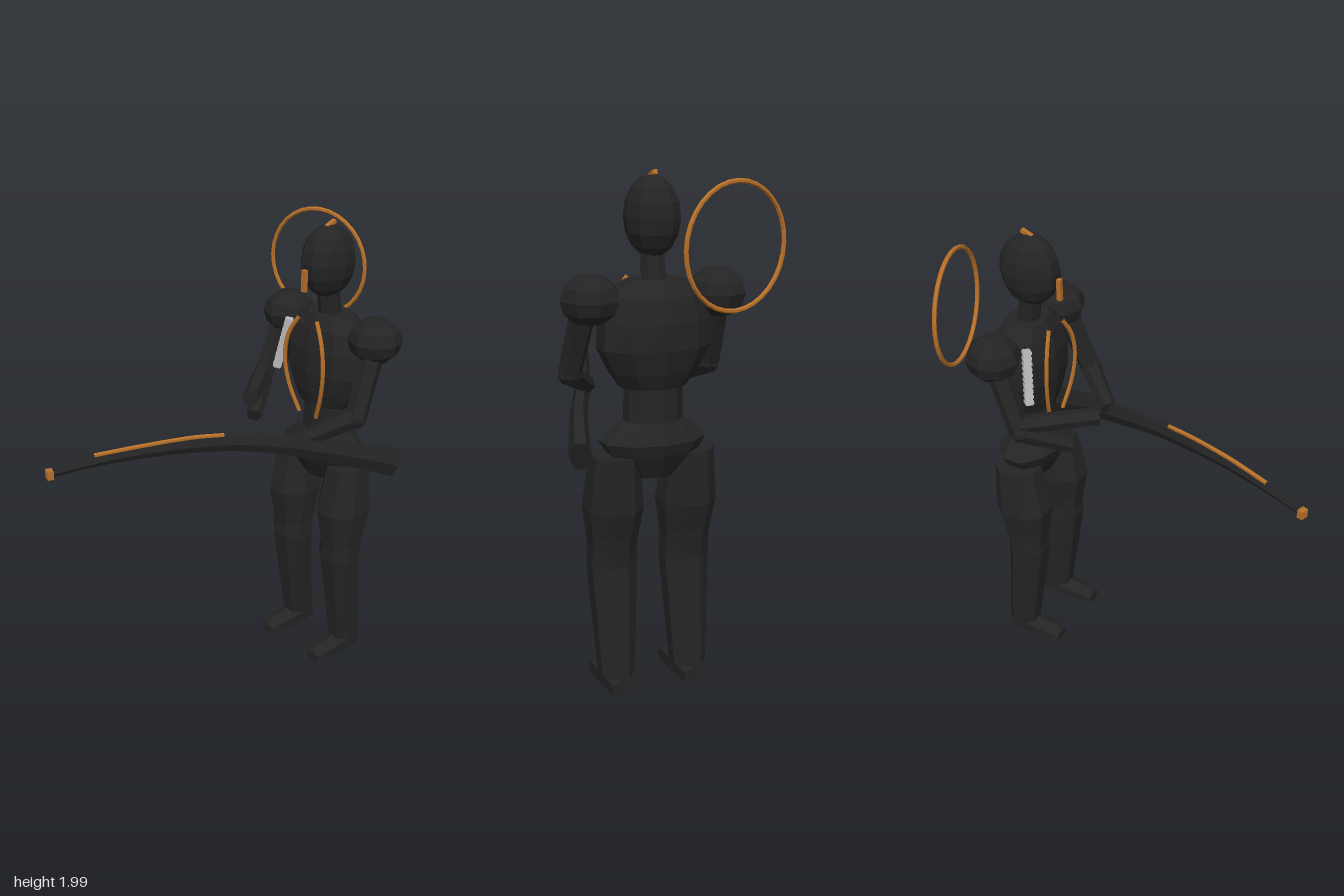
import * as THREE from 'three';

const V = (x, y, z) => new THREE.Vector3(x, y, z);
const black = new THREE.MeshStandardMaterial({ color: 0x242424 });
black.name = 'black armour';
const copper = new THREE.MeshStandardMaterial({ color: 0xb87028 });
copper.name = 'copper trim';
const silver = new THREE.MeshStandardMaterial({ color: 0xb8b8ba });
silver.name = 'silver';

const CX = 0.055; // the figure's own centre line

// Faceted mesh from any geometry
function part(name, geo, mat = black) {
  const g = geo.index ? geo.toNonIndexed() : geo;
  g.computeVertexNormals();
  const m = new THREE.Mesh(g, mat);
  m.name = name;
  return m;
}

// Elliptical ring of n points; u x v must point along the loft
function ring(c, u, v, n, turn = 0.5) {
  return Array.from({ length: n }, (_, i) => {
    const a = ((i + turn) / n) * Math.PI * 2;
    return c.clone().addScaledVector(u, Math.cos(a)).addScaledVector(v, Math.sin(a));
  });
}

// Closed skin over a list of rings
function loft(rings) {
  const pos = [];
  const tri = (...p) => p.forEach((q) => pos.push(q.x, q.y, q.z));
  const n = rings[0].length;
  const mid = (r) => r.reduce((s, p) => s.add(p), V(0, 0, 0)).divideScalar(n);
  const last = rings[rings.length - 1];
  const m0 = mid(rings[0]), m1 = mid(last);
  for (let j = 0; j < n; j++) {
    const k = (j + 1) % n;
    for (let i = 0; i < rings.length - 1; i++) {
      const a = rings[i], b = rings[i + 1];
      tri(a[j], a[k], b[k]);
      tri(a[j], b[k], b[j]);
    }
    tri(m0, rings[0][k], rings[0][j]);
    tri(m1, last[j], last[k]);
  }
  const g = new THREE.BufferGeometry();
  g.setAttribute('position', new THREE.Float32BufferAttribute(pos, 3));
  return g;
}

// Upright loft: sections are [x, y, z, half width, half depth], bottom to top
const upright = (sections, n) =>
  loft(sections.map(([x, y, z, a, b]) => ring(V(x, y, z), V(a, 0, 0), V(0, 0, -b), n)));

// Tapered limb between two points
function limb(name, a, b, ra, rb, n = 6) {
  const d = b.clone().sub(a);
  const m = part(name, new THREE.CylinderGeometry(rb, ra, d.length(), n));
  m.position.copy(a).addScaledVector(d, 0.5);
  m.quaternion.setFromUnitVectors(V(0, 1, 0), d.normalize());
  return m;
}

function ball(name, c, rx, ry, rz, w, h) {
  const m = part(name, new THREE.SphereGeometry(1, w, h).scale(rx, ry, rz));
  m.position.copy(c);
  return m;
}

const wire = (name, pts, r) =>
  part(name, new THREE.TubeGeometry(new THREE.CatmullRomCurve3(pts), 14, r, 6), copper);

function box(name, c, w, h, d, mat) {
  const m = part(name, new THREE.BoxGeometry(w, h, d), mat);
  m.position.copy(c);
  return m;
}

export function createModel() {
  const model = new THREE.Group();
  model.name = 'armouredFigure';

  // Head, neck and copper head trim
  model.add(ball('head', V(CX, 1.835, -0.52), 0.1, 0.15, 0.13, 10, 8));
  model.add(limb('neck', V(CX, 1.59, -0.545), V(CX, 1.72, -0.525), 0.05, 0.046, 8));
  model.add(box('faceRidge', V(CX, 1.775, -0.387), 0.02, 0.09, 0.018, copper));
  const crest = box('crest', V(CX, 1.984, -0.525), 0.018, 0.016, 0.05, copper);
  crest.rotation.x = 0.4;
  model.add(crest);

  // Trunk
  model.add(part('chest', upright([
    [CX, 1.22, -0.54, 0.13, 0.095], [CX, 1.28, -0.545, 0.175, 0.115],
    [CX, 1.37, -0.55, 0.222, 0.134], [CX, 1.47, -0.55, 0.218, 0.134],
    [CX, 1.56, -0.55, 0.19, 0.115], [CX, 1.615, -0.545, 0.115, 0.08],
  ], 10)));
  model.add(part('waist', upright([
    [CX, 1.07, -0.545, 0.115, 0.093], [CX, 1.24, -0.545, 0.11, 0.09],
  ], 10)));
  model.add(part('hips', upright([
    [CX, 0.88, -0.54, 0.09, 0.07], [CX, 0.975, -0.54, 0.185, 0.12],
    [CX, 1.02, -0.54, 0.21, 0.135], [CX, 1.095, -0.545, 0.122, 0.098],
  ], 10)));

  // Mirrored limbs and chest piping
  for (const s of [1, -1]) {
    const side = s > 0 ? 'left' : 'right';
    const P = (x, y, z) => V(CX + s * x, y, z);
    model.add(ball(side + 'Shoulder', P(0.25, 1.553, -0.55), 0.113, 0.095, 0.113, 8, 6));
    const elbow = P(0.283, 1.26, -0.425);
    model.add(limb(side + 'UpperArm', P(0.262, 1.54, -0.535), elbow, 0.05, 0.045));
    model.add(ball(side + 'Elbow', elbow, 0.048, 0.045, 0.048, 6, 5));
    model.add(limb(side + 'Forearm', elbow, P(0.155, 1.17, -0.265), 0.046, 0.034));

    const lx = CX + s * 0.15;
    model.add(part(side + 'Thigh', upright([
      [lx, 0.52, -0.51, 0.085, 0.08], [lx, 0.65, -0.515, 0.1, 0.1],
      [lx, 0.76, -0.52, 0.115, 0.127], [lx, 0.97, -0.54, 0.095, 0.1],
    ], 8)));
    model.add(part(side + 'Shin', upright([
      [lx, 0.095, -0.56, 0.072, 0.07], [lx, 0.53, -0.508, 0.098, 0.087],
      [lx, 0.64, -0.515, 0.095, 0.09],
    ], 8)));
    const boot = [[-0.625, 0.052, 0.045, 0.04], [-0.5, 0.056, 0.057, 0.047],
      [-0.4, 0.053, 0.055, 0.042], [-0.365, 0.045, 0.042, 0.025]];
    model.add(part(side + 'Boot', loft(boot.map(([z, y, a, b]) =>
      ring(V(lx, y, z), V(a, 0, 0), V(0, b, 0), 6, 0.5)))));

    model.add(wire(side + 'ChestPiping', [
      P(0.05, 1.61, -0.415), P(0.095, 1.53, -0.4), P(0.113, 1.42, -0.397),
      P(0.095, 1.3, -0.408), P(0.05, 1.18, -0.43)], 0.009));
  }

  // Raised guard forearm on the right
  model.add(limb('guardForearm', V(-0.225, 1.29, -0.425), V(-0.025, 1.295, -0.175), 0.04, 0.036));

  // Silver ridged rod in front of the right shoulder
  const rod = new THREE.Group();
  rod.name = 'ridgedRod';
  rod.add(box('rodCore', V(0, 0, 0), 0.03, 0.23, 0.03, silver));
  for (let i = 0; i < 10; i++)
    rod.add(box('rodRidge', V(0, -0.103 + i * 0.023, 0), 0.036, 0.011, 0.036, silver));
  rod.position.set(-0.12, 1.45, -0.445);
  rod.quaternion.setFromUnitVectors(V(0, 1, 0), V(0.2, 1, -0.12).normalize());
  rod.rotateY(Math.PI / 4);
  model.add(rod);

  // Long curved blade, thick at the rear and thin at the tip
  const path = new THREE.CatmullRomCurve3([
    V(0.375, 1.005, -0.635), V(0.31, 1.08, -0.44), V(0.205, 1.155, -0.2), V(0.13, 1.205, 0),
    V(0.06, 1.228, 0.2), V(-0.005, 1.237, 0.4), V(-0.07, 1.23, 0.59), V(-0.125, 1.212, 0.76)]);
  const steps = 12;
  const rings = [];
  for (let i = 0; i <= steps; i++) {
    const t = i / steps;
    const d = path.getTangentAt(t);
    const u = V(0, 1, 0).cross(d).normalize();
    const v = d.clone().cross(u);
    const h = THREE.MathUtils.lerp(0.066, 0.014, Math.pow(t, 0.8));
    const w = THREE.MathUtils.lerp(0.042, 0.014, Math.pow(t, 0.7));
    rings.push(ring(path.getPointAt(t), u.multiplyScalar(w), v.multiplyScalar(h), 6, 0));
  }
  model.add(part('blade', loft(rings)));
  model.add(wire('bladeInlay', [
    V(0.1, 1.25, 0.08), V(0.06, 1.262, 0.2), V(-0.005, 1.264, 0.4), V(-0.073, 1.256, 0.585)], 0.009));
  const tip = box('bladeTip', V(-0.125, 1.211, 0.755), 0.033, 0.035, 0.025, copper);
  tip.rotation.y = -0.3;
  model.add(tip);

  // Copper hoop behind the right shoulder
  const hoop = part('hoop', new THREE.TorusGeometry(0.23, 0.009, 6, 32), copper);
  hoop.position.set(-0.19, 1.737, -0.708);
  hoop.rotation.y = 0.253;
  model.add(hoop);

  return model;
}
